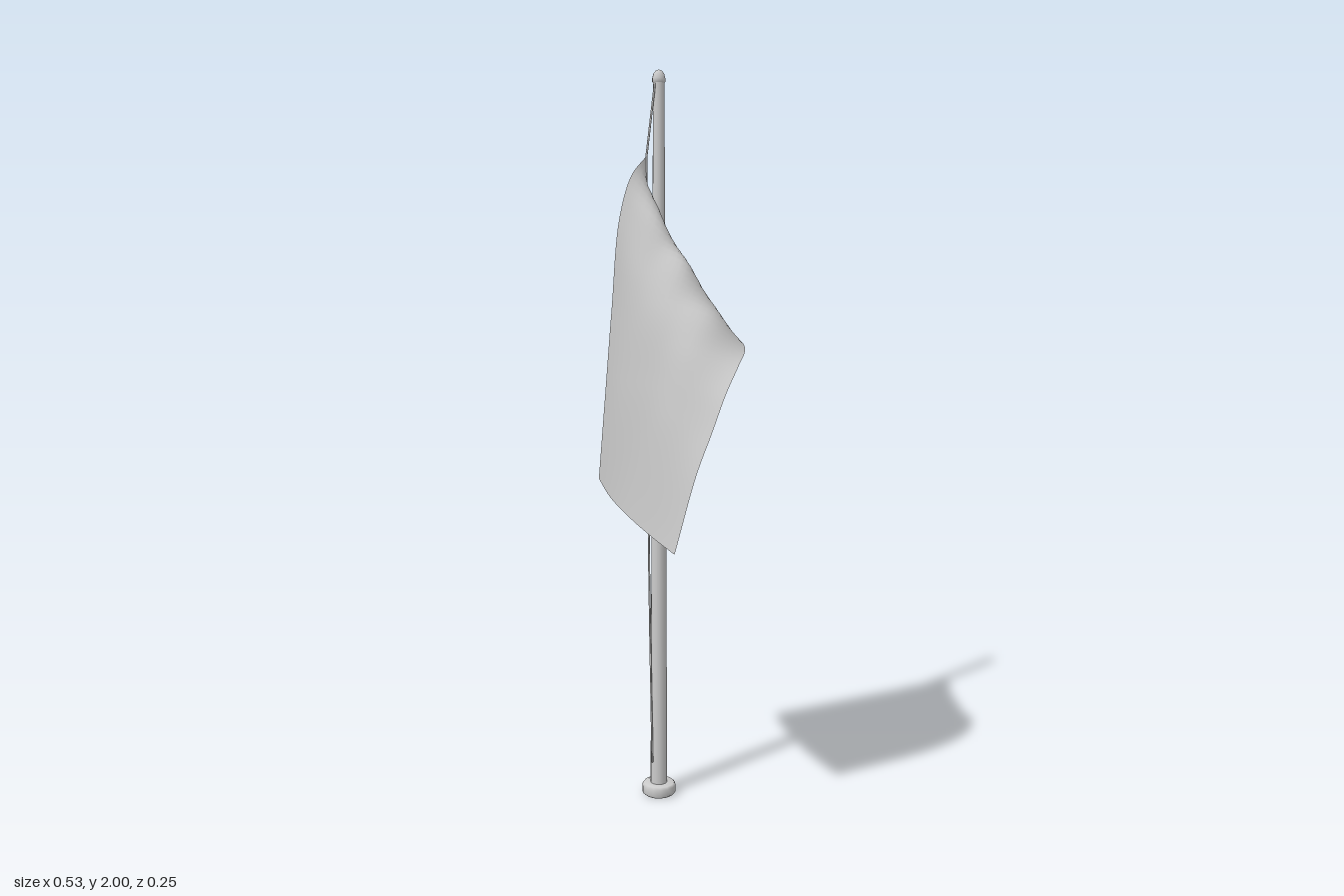
import * as THREE from 'three';

const POLE_X = -0.085, POLE_Z = -0.08;
const curve = (pts) => new THREE.CatmullRomCurve3(pts.map((p) => new THREE.Vector3(...p)));

export function createModel() {
  const group = new THREE.Group();
  const grey = new THREE.MeshStandardMaterial({ color: 0xcccccc });
  const cloth = new THREE.MeshStandardMaterial({ color: 0xcccccc, side: THREE.DoubleSide });

  const add = (name, geometry, material = grey) => {
    const mesh = new THREE.Mesh(geometry, material);
    mesh.name = name;
    group.add(mesh);
    return mesh;
  };
  const lathe = (name, pts) => {
    const geometry = new THREE.LatheGeometry(pts.map((p) => new THREE.Vector2(...p)), 14);
    add(name, geometry).position.set(POLE_X, 0, POLE_Z);
  };

  // Tapered pole, rounded collar at the foot, acorn finial on top
  add('pole', new THREE.CylinderGeometry(0.015, 0.024, 1.965, 14)).position.set(POLE_X, 0.9875, POLE_Z);
  lathe('baseCollar', [
    [0.024, 0.008], [0.028, 0], [0.042, 0], [0.048, 0.006], [0.048, 0.026], [0.043, 0.033], [0.023, 0.034],
  ]);
  lathe('finial', [[0.012, 1.964], [0.017, 1.969], [0.017, 1.978], [0.014, 1.99], [0.008, 1.997], [0, 2]]);

  // Halyard above and below the flag
  const rope = (name, pts) => add(name, new THREE.TubeGeometry(curve(pts), 16, 0.0028, 6));
  rope('upperHalyard', [[POLE_X, 1.965, -0.066], [POLE_X, 1.87, -0.05], [POLE_X, 1.78, -0.035]]);
  rope('lowerHalyard', [[POLE_X, 1.78, -0.035], [POLE_X, 1.29, -0.036], [POLE_X, 0.7, -0.042], [POLE_X, 0.1, -0.054]]);

  // Guide curves of the cloth from hoist to fly, top hem first, bottom hem last
  const guides = [
    [[-0.085, 1.78, -0.035], [-0.09, 1.73, 0.015], [-0.115, 1.62, 0.035], [-0.165, 1.38, 0.018],
      [-0.215, 1.14, -0.002], [-0.265, 0.9, -0.022]],
    [[-0.085, 1.66, -0.035], [-0.04, 1.645, -0.035], [0, 1.6, 0], [-0.02, 1.48, 0.045],
      [-0.08, 1.2, 0.055], [-0.155, 0.873, 0.037]],
    [[-0.085, 1.53, -0.035], [0, 1.53, -0.06], [0.075, 1.51, -0.02], [0.08, 1.4, 0.045],
      [0.05, 1.2, 0.075], [-0.04, 0.845, 0.078]],
    [[-0.085, 1.41, -0.035], [0.03, 1.425, -0.075], [0.125, 1.4, -0.075], [0.167, 1.38, -0.015],
      [0.165, 1.3, 0.045], [0.13, 1.14, 0.085], [0.07, 0.817, 0.105]],
    [[-0.085, 1.29, -0.035], [0.04, 1.32, -0.09], [0.15, 1.32, -0.118], [0.22, 1.3, -0.085],
      [0.255, 1.26, -0.02], [0.262, 1.2, 0.03], [0.25, 1.1, 0.07], [0.227, 1, 0.098], [0.175, 0.79, 0.123]],
  ].map(curve);

  // Draped flag: a grid lofted smoothly across the guide curves
  const nu = 48, nv = 24;
  const flag = new THREE.PlaneGeometry(1, 1, nu, nv);
  const pos = flag.attributes.position;
  for (let i = 0; i <= nu; i++) {
    const section = new THREE.CatmullRomCurve3(guides.map((g) => g.getPointAt(i / nu)));
    for (let j = 0; j <= nv; j++) {
      const p = section.getPoint(j / nv);
      pos.setXYZ(j * (nu + 1) + i, p.x, p.y, p.z);
    }
  }
  flag.computeVertexNormals();
  add('flag', flag, cloth);

  return group;
}
